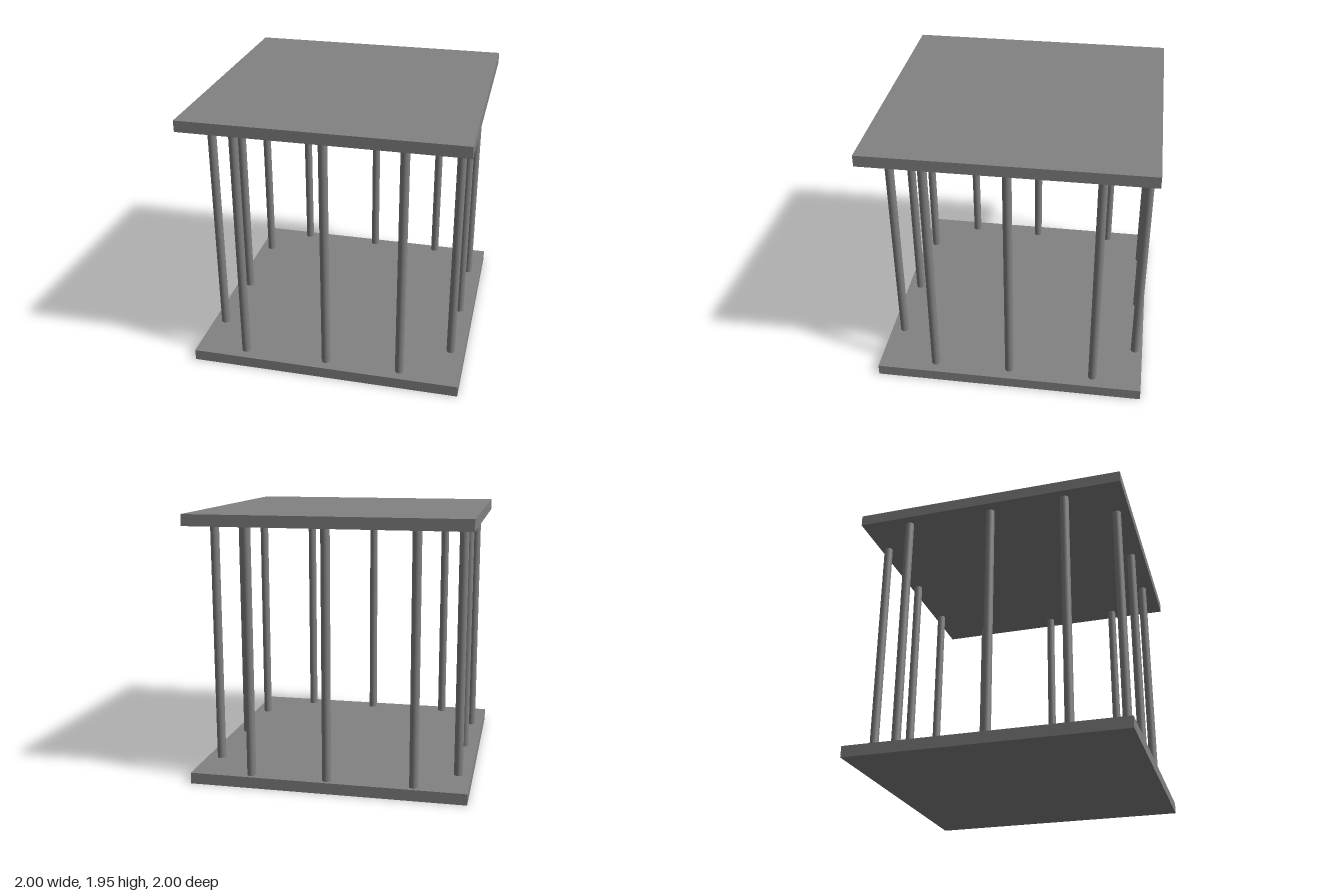
import * as THREE from 'three';

export function createModel() {
  const model = new THREE.Group();
  const material = new THREE.MeshStandardMaterial({ color: 0x828282 });
  const height = 1.951, slab = 0.082, radius = 0.032;

  // Square floor and roof slabs
  const slabGeometry = new THREE.BoxGeometry(2, slab, 2);
  for (const [name, y] of [['floorSlab', slab / 2], ['roofSlab', height - slab / 2]]) {
    const mesh = new THREE.Mesh(slabGeometry, material);
    mesh.name = name;
    mesh.position.y = y;
    model.add(mesh);
  }

  // Slender round columns around the edge, as [x, z]
  const columns = {
    front: [[-0.621, 0.902], [0.002, 0.902], [0.557, 0.902]],
    back: [[-0.623, -0.943], [0, -0.943], [0.555, -0.943]],
    left: [[0.895, 0.57], [0.895, 0], [0.893, -0.634]],
    right: [[-0.909, 0.57], [-0.897, 0], [-0.907, -0.642]],
  };
  const columnGeometry = new THREE.CylinderGeometry(radius, radius, height - 2 * slab, 32, 1, true);
  for (const [side, spots] of Object.entries(columns)) {
    const row = new THREE.Group();
    row.name = side + 'Columns';
    spots.forEach(([x, z], i) => {
      const column = new THREE.Mesh(columnGeometry, material);
      column.name = side + 'Column' + (i + 1);
      column.position.set(x, height / 2, z);
      row.add(column);
    });
    model.add(row);
  }
  return model;
}
